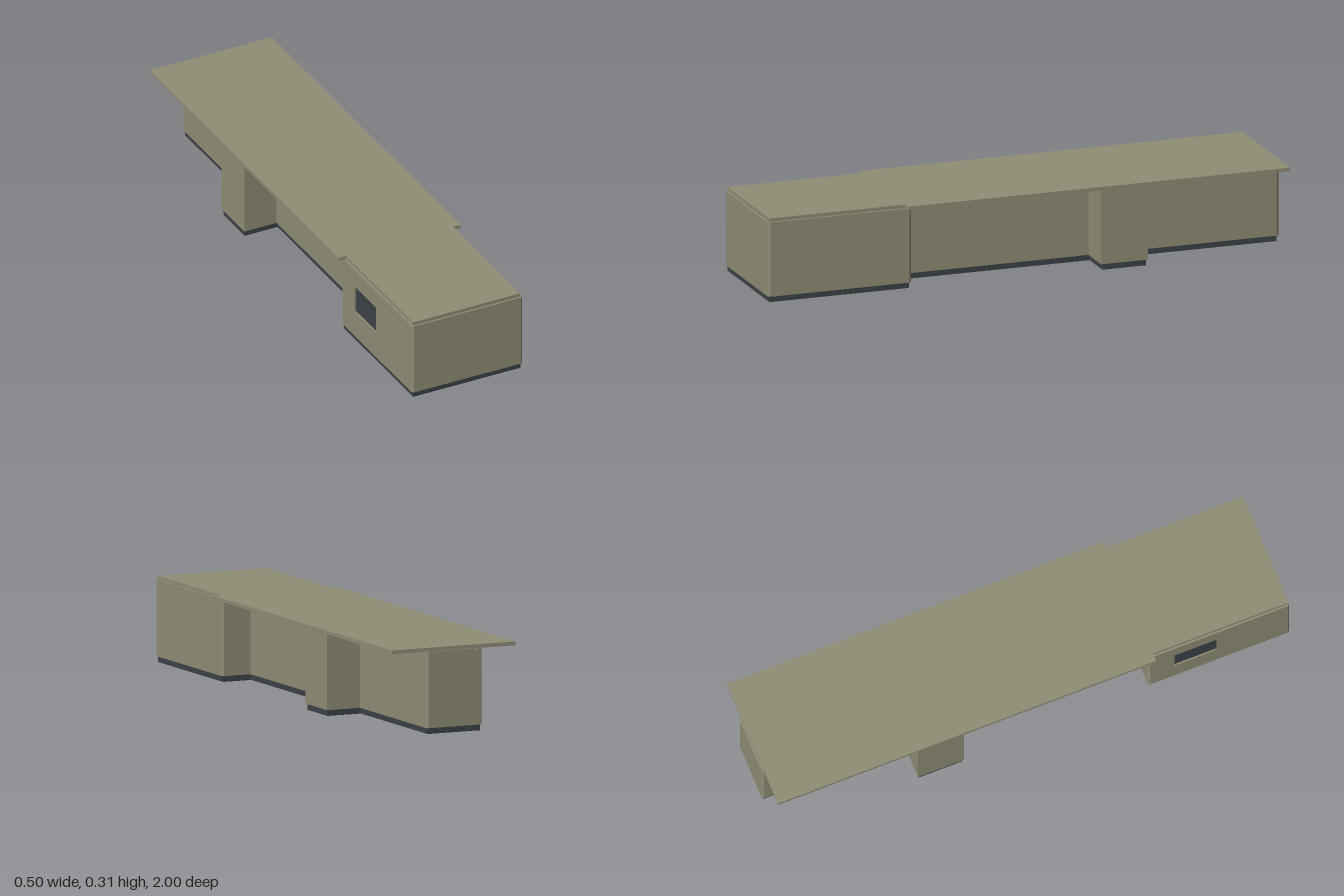
import * as THREE from 'three';

const wallMaterial = new THREE.MeshStandardMaterial({ color: 0x918e76 });
wallMaterial.name = 'olive';
const darkMaterial = new THREE.MeshStandardMaterial({ color: 0x3b4347 });
darkMaterial.name = 'dark slate';

// Extrudes a plan outline of [x, z] points between two heights.
function slab(name, outline, y0, y1, material) {
  const shape = new THREE.Shape(outline.map(([x, z]) => new THREE.Vector2(x, -z)));
  const geometry = new THREE.ExtrudeGeometry(shape, { depth: y1 - y0, bevelEnabled: false });
  geometry.rotateX(-Math.PI / 2);
  geometry.translate(0, y0, 0);
  const mesh = new THREE.Mesh(geometry, material);
  mesh.name = name;
  return mesh;
}

// Completes a half outline (front to back on +x) with its mirror image on -x.
const mirrored = (half, extra = []) => [
  ...half,
  ...half.map(([x, z]) => [-x, z]).reverse().flatMap((p, i) => (i === half.length - 3 ? [...extra, p] : [p])),
];

export function createModel() {
  const group = new THREE.Group();
  group.name = 'building';

  // Wide front room, narrow corridor and two side bays, with chamfered outer corners
  const wallHalf = [
    [0.2175, 1], [0.225, 0.992],
    [0.225, 0.459], [0.2175, 0.451], [0.111, 0.451],
    [0.111, -0.27], [0.2425, -0.27], [0.2425, -0.449], [0.111, -0.449],
    [0.111, -0.993], [0.105, -1],
  ];
  const baseHalf = [
    [0.2175, 0.993], [0.2175, 0.458], [0.105, 0.458],
    [0.105, -0.276], [0.2375, -0.276], [0.2375, -0.443], [0.105, -0.443],
    [0.105, -0.993],
  ];
  const roofHalf = [
    [0.2175, 0.993], [0.2175, 0.473], [0.2475, 0.473], [0.2475, -0.993],
  ];

  // Window opening on the right-hand wall of the front room
  const win = { z0: 0.553, z1: 0.717, y0: 0.125, y1: 0.23, inner: -0.2175 };
  const walls = mirrored(wallHalf);
  const notch = [[-0.225, win.z0], [win.inner, win.z0], [win.inner, win.z1], [-0.225, win.z1]];
  const notchAt = walls.findIndex(([x, z]) => x === -0.225 && z === 0.459) + 1;
  const notchedWalls = [...walls.slice(0, notchAt), ...notch, ...walls.slice(notchAt)];

  group.add(
    slab('base', mirrored(baseHalf), 0, 0.022, darkMaterial),
    slab('lowerWalls', walls, 0.022, win.y0, wallMaterial),
    slab('windowBandWalls', notchedWalls, win.y0, win.y1, wallMaterial),
    slab('upperWalls', walls, win.y1, 0.3, wallMaterial),
    slab('roof', mirrored(roofHalf), 0.3, 0.3135, wallMaterial),
  );

  // Recessed window pane
  const pane = new THREE.Mesh(
    new THREE.BoxGeometry(0.002, win.y1 - win.y0, win.z1 - win.z0), darkMaterial);
  pane.name = 'windowPane';
  pane.position.set(win.inner - 0.001, (win.y0 + win.y1) / 2, (win.z0 + win.z1) / 2);
  group.add(pane);

  return group;
}
